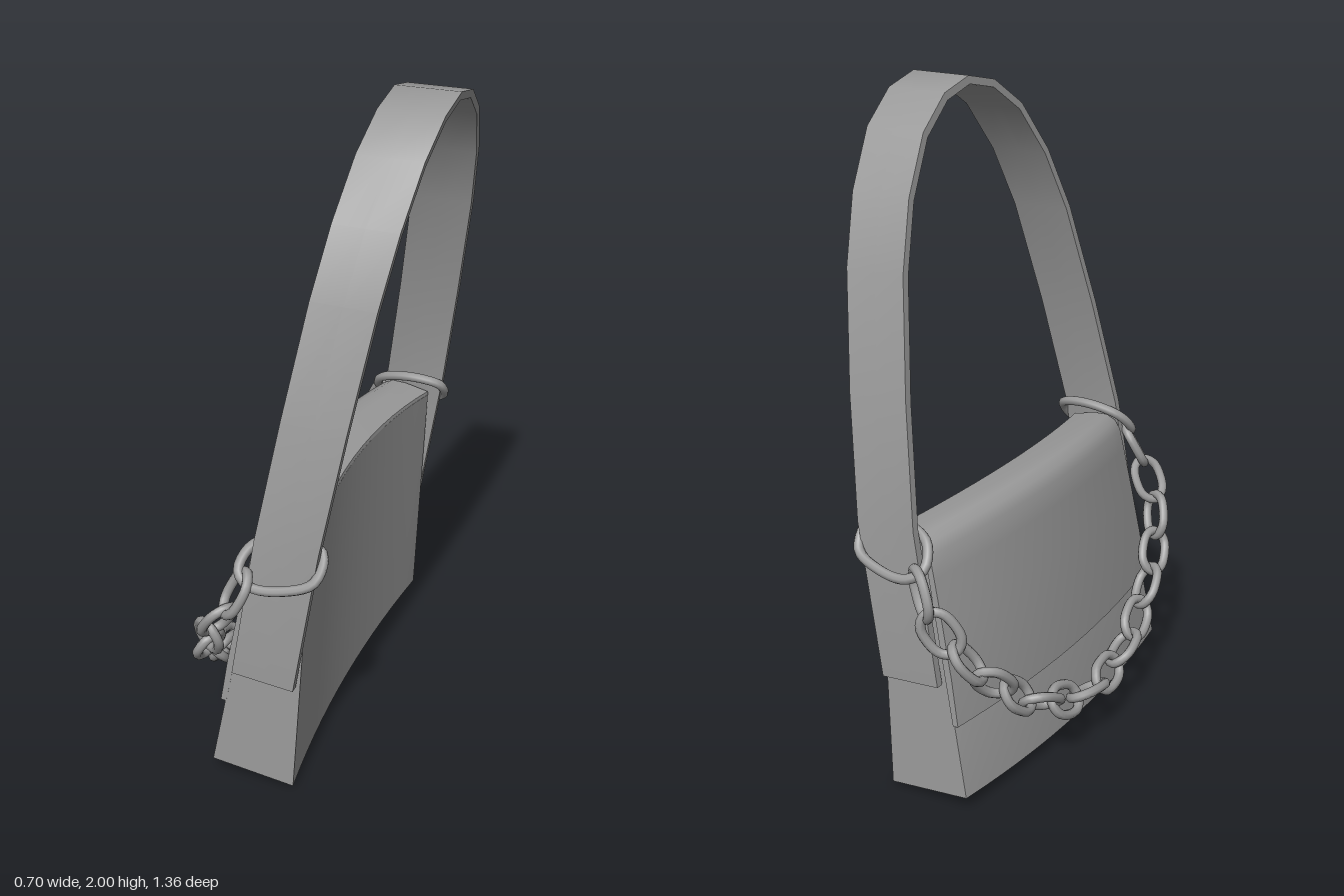
import * as THREE from 'three';
import { toCreasedNormals } from 'three/addons/utils/BufferGeometryUtils.js';

const V = (x, y, z) => new THREE.Vector3(x, y, z);

// Apply a rule to every vertex of a geometry
function warp(geometry, rule) {
  const p = geometry.attributes.position;
  const v = new THREE.Vector3();
  for (let i = 0; i < p.count; i++) {
    v.fromBufferAttribute(p, i);
    rule(v);
    p.setXYZ(i, v.x, v.y, v.z);
  }
  return geometry;
}

function extrude(points, depth, steps) {
  const shape = new THREE.Shape(points.map(([a, b]) => new THREE.Vector2(a, b)));
  return new THREE.ExtrudeGeometry(shape, { depth, steps, bevelEnabled: false })
    .translate(0, 0, -depth / 2);
}

// Side profile drawn out along z, with the ends curving towards +x and narrowing upwards
function bentPanel(profile, widen) {
  const g = warp(extrude(profile, 2, 14), (v) => {
    const t = v.z * v.z;
    const y = v.y;
    v.z *= 0.587 - 0.042 * y + widen;
    v.x += t * (0.04 + 0.03 * y);
    v.y += t * (0.01 - 0.045 * y);
  });
  return toCreasedNormals(g, 0.6);
}

export function createModel() {
  const group = new THREE.Group();
  const grey = new THREE.MeshStandardMaterial({ color: 0x999999 });
  grey.name = 'grey';
  const add = (name, geometry, parent = group) => {
    const mesh = new THREE.Mesh(geometry, grey);
    mesh.name = name;
    parent.add(mesh);
    return mesh;
  };

  // Tapered, curved bag body
  add('body', bentPanel([
    [-0.24, 0.035], [0.02, 0.002], [0.04, 0.81], [-0.04, 0.825], [-0.095, 0.82], [-0.125, 0.775],
  ], 0));

  // Flap over the top and down the -x face
  add('flap', bentPanel([
    [0.04, 0.808], [0.038, 0.822], [-0.04, 0.842], [-0.085, 0.845], [-0.115, 0.83],
    [-0.133, 0.8], [-0.146, 0.73], [-0.172, 0.58], [-0.198, 0.42], [-0.217, 0.27],
    [-0.2, 0.268], [-0.12, 0.775], [-0.09, 0.815], [-0.04, 0.82],
  ], 0.003));

  // Arched shoulder strap, leaning towards +x
  const half = [[0.593, 0.385], [0.583, 0.85], [0.52, 1.2], [0.44, 1.53],
    [0.36, 1.72], [0.25, 1.875], [0.125, 1.96]];
  const path = [...half, [0, 1.988], ...half.map(([z, y]) => [-z, y]).reverse()];
  const offset = (d) => path.map(([z, y], i) => {
    const a = path[Math.max(i - 1, 0)];
    const b = path[Math.min(i + 1, path.length - 1)];
    const len = Math.hypot(b[0] - a[0], b[1] - a[1]);
    return [z + (d * (b[1] - a[1])) / len, y - (d * (b[0] - a[0])) / len];
  });
  const band = extrude([...offset(0.012), ...offset(-0.012).reverse()], 0.19, 2).rotateY(Math.PI / 2);
  warp(band, (v) => {
    const y = v.y;
    v.y -= 0.1 * v.x * (2 - y) / 1.6;
    v.x += -0.025 + 0.167 * (y - 0.38);
  });
  add('strap', toCreasedNormals(band, 0.6));

  // Chain loops wrapped round the strap at both ends
  const chain = new THREE.Group();
  chain.name = 'chain';
  group.add(chain);
  for (const s of [1, -1]) {
    const loop = [[0.14, 0.765, 0.605], [0.06, 0.735, 0.63], [-0.04, 0.73, 0.635], [-0.085, 0.76, 0.61],
      [-0.06, 0.82, 0.56], [0.05, 0.85, 0.535], [0.145, 0.83, 0.55]].map(([x, y, z]) => V(x, y, z * s));
    add('strapLoop', new THREE.TubeGeometry(new THREE.CatmullRomCurve3(loop, true), 36, 0.015, 8, true), chain);
  }

  // Oval links, alternately turned, hanging in a swag across the -x face
  const w = 0.042;
  const oval = [[0.072, 0], [0.06, 0.026], [0.035, w], [-0.035, w], [-0.06, 0.026],
    [-0.072, 0], [-0.06, -0.026], [-0.035, -w], [0.035, -w], [0.06, -0.026]];
  const linkGeometry = new THREE.TubeGeometry(
    new THREE.CatmullRomCurve3(oval.map(([x, y]) => V(x, y, 0)), true), 28, 0.015, 8, true);
  const swagHalf = [[-0.06, 0.75, 0.615], [-0.11, 0.65, 0.635], [-0.18, 0.53, 0.6],
    [-0.23, 0.42, 0.52], [-0.262, 0.31, 0.4], [-0.285, 0.23, 0.27], [-0.3, 0.18, 0.13]];
  const swag = new THREE.CatmullRomCurve3([
    ...swagHalf.map(([x, y, z]) => V(x, y, z)), V(-0.308, 0.165, 0),
    ...swagHalf.map(([x, y, z]) => V(x, y, -z)).reverse(),
  ]);
  const count = 16;
  for (let i = 0; i < count; i++) {
    const u = (i + 0.5) / count;
    const tangent = swag.getTangentAt(u);
    const side = V(1, 0.3, 0).cross(tangent).normalize();
    const normal = tangent.clone().cross(side);
    const link = add('chainLink', linkGeometry, chain);
    link.quaternion.setFromRotationMatrix(new THREE.Matrix4().makeBasis(tangent, side, normal));
    link.rotateX((i % 2 ? 1 : -1) * Math.PI / 4);
    link.position.copy(swag.getPointAt(u));
  }

  return group;
}
